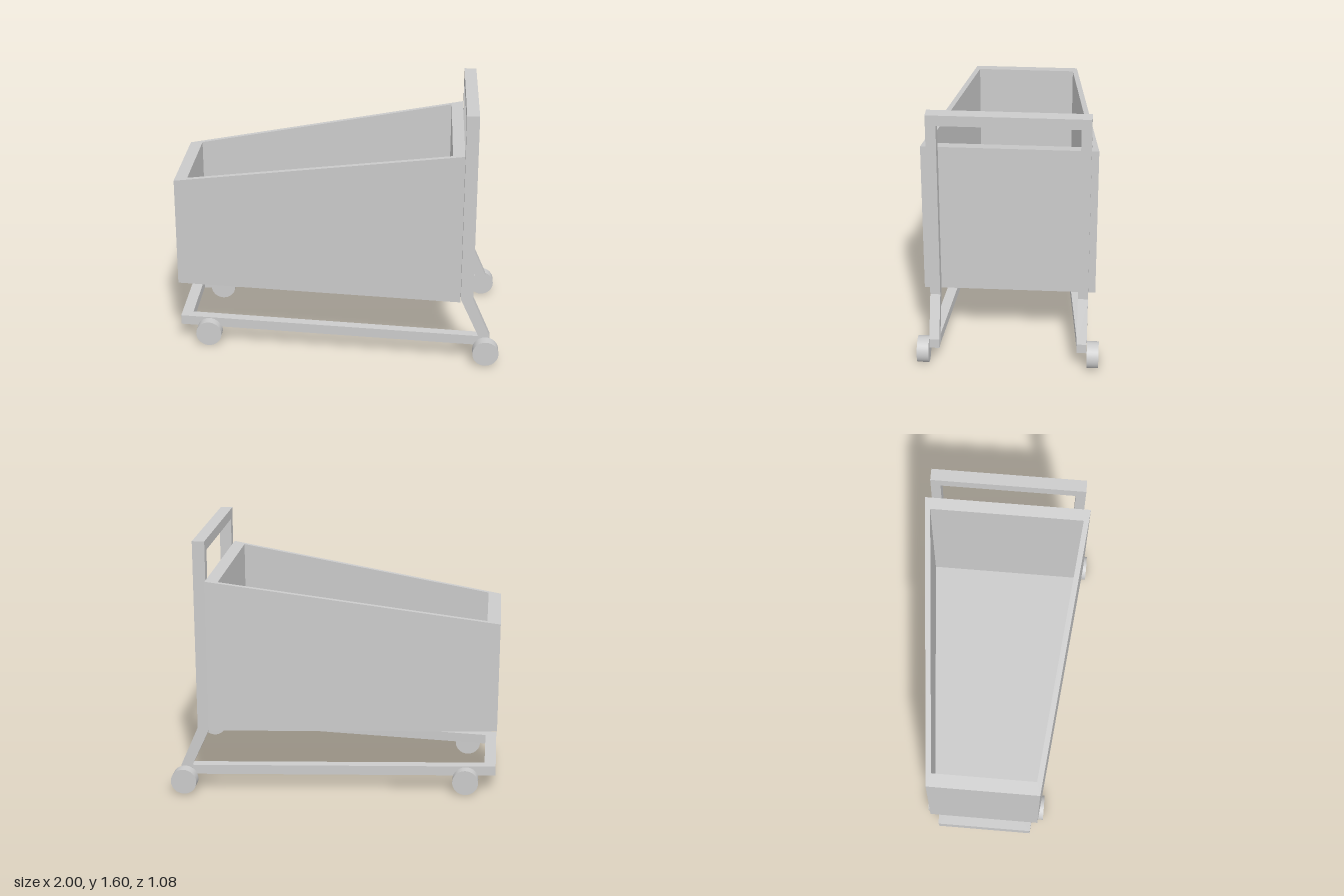
import * as THREE from 'three';

const material = new THREE.MeshStandardMaterial({ color: 0xcccccc });

function addMesh(parent, name, geometry) {
  const mesh = new THREE.Mesh(geometry, material);
  mesh.name = name;
  parent.add(mesh);
  return mesh;
}

const toPoints = (pairs) => pairs.map(([x, y]) => new THREE.Vector2(x, y));

// Plan outline (x, z) extruded vertically between two heights
function extrudePlan(outline, bottom, top, hole) {
  const shape = new THREE.Shape(toPoints(outline));
  if (hole) shape.holes.push(new THREE.Path(toPoints(hole)));
  const geometry = new THREE.ExtrudeGeometry(shape, { depth: top - bottom, bevelEnabled: false });
  return geometry.rotateX(Math.PI / 2).translate(0, top, 0);
}

// Symmetric trapezoid in plan: half widths z0 at x0 and z1 at x1
const trapezoid = (x0, z0, x1, z1) => [[x0, -z0], [x1, -z1], [x1, z1], [x0, z0]];

export function createModel() {
  const cart = new THREE.Group();
  cart.name = 'cart';

  // Basket: tapered walls with a rim that climbs towards the handle
  const basket = new THREE.Group();
  basket.name = 'basket';
  cart.add(basket);
  const inner = trapezoid(-0.92, 0.315, 0.685, 0.473);
  const walls = extrudePlan(trapezoid(-1, 0.34, 0.757, 0.512), 0.415, 1, inner);
  const p = walls.attributes.position;
  for (let i = 0; i < p.count; i++) {
    if (p.getY(i) > 0.9) p.setY(i, 1.1 + (p.getX(i) + 1) * (0.26 / 1.757));
  }
  walls.computeVertexNormals();
  addMesh(basket, 'basketWalls', walls);
  addMesh(basket, 'basketFloor', extrudePlan(inner, 0.415, 0.45));

  // Base frame: two converging rails joined by a bar at the narrow end
  addMesh(cart, 'baseFrame', extrudePlan([
    [-1, -0.297], [0.88, -0.468], [0.88, -0.408], [-0.93, -0.237],
    [-0.93, 0.237], [0.88, 0.408], [0.88, 0.468], [-1, 0.297],
  ], 0.105, 0.165));

  // Handle: bent uprights and a crossbar
  const legShape = new THREE.Shape(toPoints([
    [0.76, 1.595], [0.76, 0.415], [0.875, 0.165], [0.875, 0.105],
    [0.945, 0.105], [0.945, 0.165], [0.835, 0.415], [0.835, 1.595],
  ]));
  addMesh(cart, 'handleBar', new THREE.BoxGeometry(0.075, 0.065, 0.82))
    .position.set(0.7975, 1.5625, 0);

  for (const side of [1, -1]) {
    const label = side > 0 ? 'front' : 'back';
    const leg = new THREE.ExtrudeGeometry(legShape, { depth: 0.06, bevelEnabled: false });
    addMesh(cart, label + 'Upright', leg).position.z = side * 0.44 - 0.03;

    // Wheels on the outside of the rails
    for (const [end, x, z] of [['Narrow', -0.815, 0.342], ['Wide', 0.92, 0.507]]) {
      const wheel = new THREE.CylinderGeometry(0.08, 0.08, 0.07, 32).rotateX(Math.PI / 2);
      addMesh(cart, label + end + 'Wheel', wheel).position.set(x, 0.08, side * z);
    }
  }
  return cart;
}
